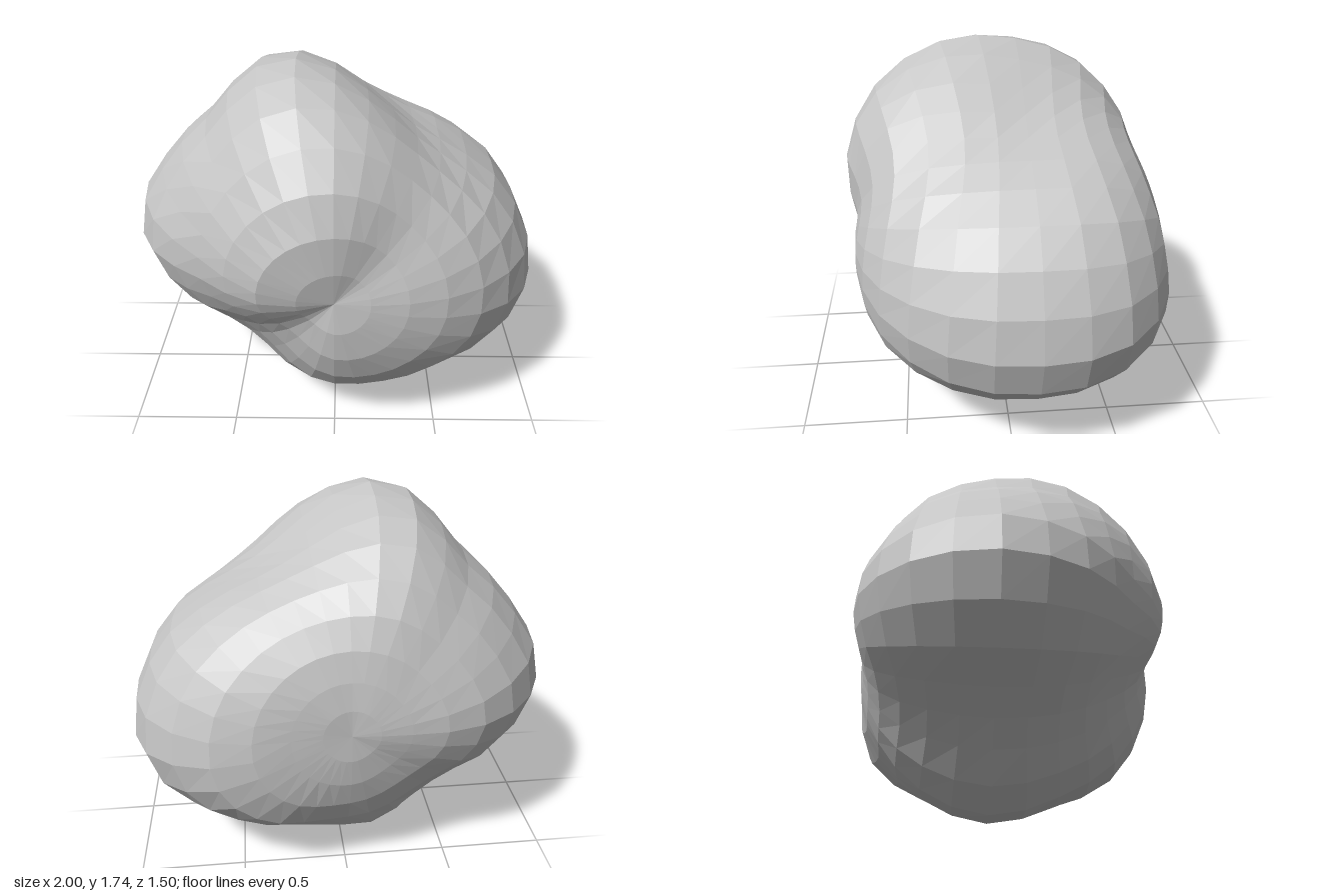
import * as THREE from 'three';

// Smooth interpolation through evenly spaced samples
const spline = (get, t) => {
  const i = Math.floor(t), f = t - i;
  const [a, b, c, d] = [get(i - 1), get(i), get(i + 1), get(i + 2)];
  return b + 0.5 * f * (c - a + f * (2 * a - 5 * b + 4 * c - d + f * (3 * (b - c) + d - a)));
};
const wrap = (list) => (i) => list[((i % list.length) + list.length) % list.length];

// Outline radius around the widest ring, every 11.25 degrees from +x towards +y
const outline = [
  0.97, 0.905, 0.84, 0.76, 0.70, 0.665, 0.675, 0.725, 0.81, 0.89, 0.915, 0.88, 0.85, 0.88, 0.92, 0.98,
  1.0, 0.95, 0.88, 0.78, 0.74, 0.755, 0.82, 0.865, 0.85, 0.815, 0.80, 0.83, 0.875, 0.955, 1.015, 1.02,
];
const widest = outline.filter((r, i) => i % 4 === 0);

// Radii from the front pole to the back pole (every 22.5 degrees), eight directions each
const rings = [
  Array(8).fill(0.80),
  [0.86, 0.82, 0.90, 0.91, 0.87, 0.76, 0.84, 0.86],
  [0.94, 0.83, 0.95, 0.91, 0.86, 0.73, 0.86, 0.92],
  [0.98, 0.74, 0.90, 0.89, 0.95, 0.74, 0.83, 0.90],
  widest,
  [0.97, 0.74, 0.77, 0.83, 0.95, 0.73, 0.80, 0.88],
  [0.86, 0.74, 0.72, 0.76, 0.84, 0.71, 0.73, 0.85],
  [0.69, 0.67, 0.65, 0.67, 0.69, 0.65, 0.67, 0.69],
  Array(8).fill(0.625),
];

function radiusAt(theta, phi) {
  const turn = phi / (2 * Math.PI);
  const ring = (i) => spline(wrap(rings[Math.min(8, Math.max(0, i))]), turn * 8);
  const base = spline(ring, (theta / Math.PI) * 8);
  // finer lumps of the outline fade out towards the two poles
  const detail = spline(wrap(outline), turn * 32) - spline(wrap(widest), turn * 8);
  return base + detail * Math.sin(theta) ** 4;
}

export function createModel() {
  const group = new THREE.Group();
  group.name = 'rock';
  const stone = new THREE.MeshStandardMaterial({ color: 0xc6c6c6 });
  stone.name = 'stone grey';

  // Sphere with its poles along z, pushed in and out into a lumpy boulder
  const sphere = new THREE.SphereGeometry(1, 32, 16).rotateX(Math.PI / 2);
  const pos = sphere.attributes.position;
  const v = new THREE.Vector3();
  for (let i = 0; i < pos.count; i++) {
    v.fromBufferAttribute(pos, i);
    const theta = Math.acos(THREE.MathUtils.clamp(v.z, -1, 1));
    v.multiplyScalar(radiusAt(theta, Math.atan2(v.y, v.x)));
    pos.setXYZ(i, v.x, v.y, v.z);
  }

  // Faceted faces, centred and standing on the ground
  const geometry = sphere.toNonIndexed();
  geometry.computeVertexNormals();
  geometry.computeBoundingBox();
  const box = geometry.boundingBox;
  const centre = box.getCenter(new THREE.Vector3());
  geometry.translate(-centre.x, -box.min.y, -centre.z);

  const boulder = new THREE.Mesh(geometry, stone);
  boulder.name = 'boulder';
  group.add(boulder);
  return group;
}
